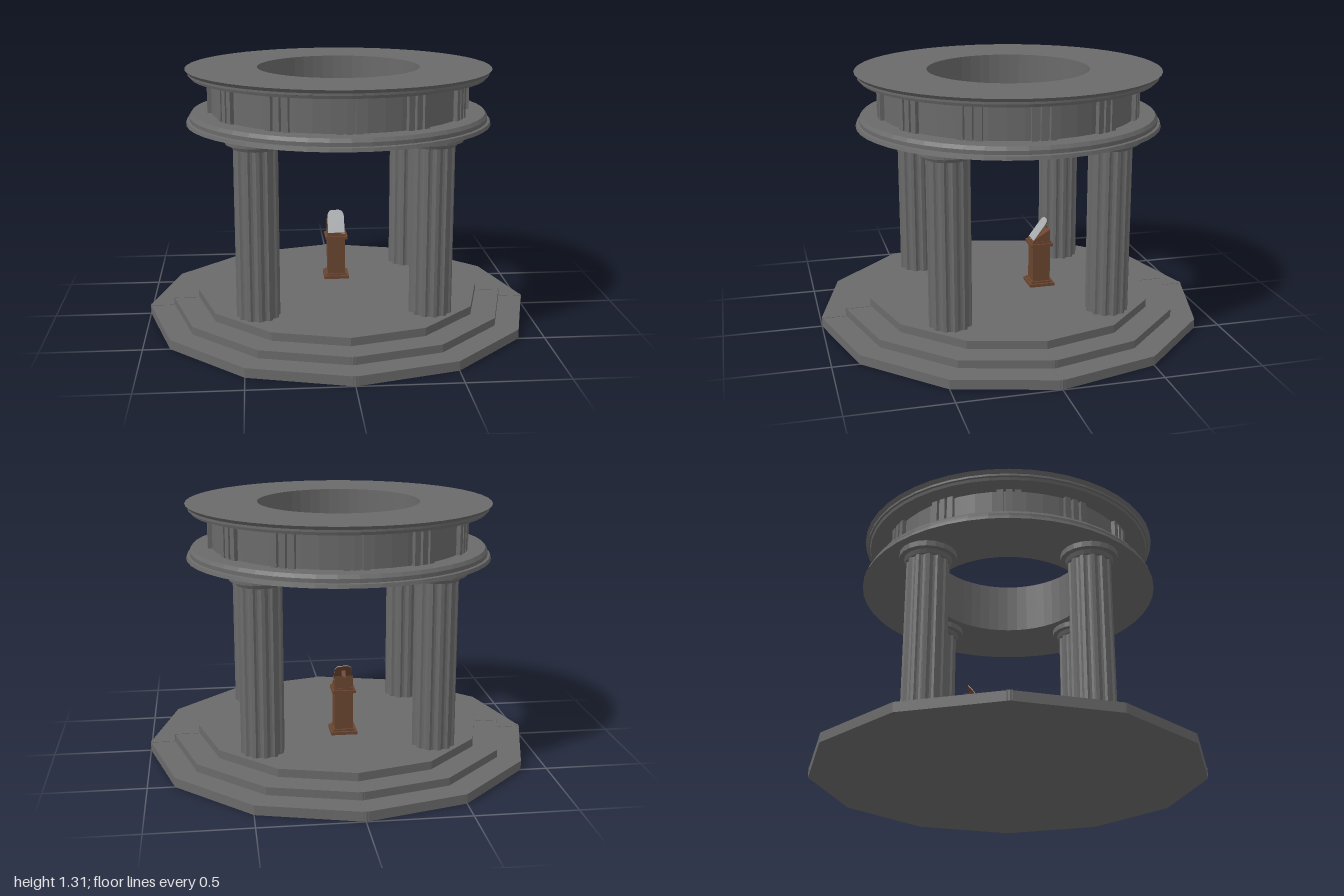
import * as THREE from 'three';

const stone = new THREE.MeshStandardMaterial({ color: 0x6a6a6a, flatShading: true });
const wood = new THREE.MeshStandardMaterial({ color: 0x6b4630, flatShading: true });
const slate = new THREE.MeshStandardMaterial({ color: 0xa8abad, flatShading: true });

function add(parent, name, geometry, material, x = 0, y = 0, z = 0) {
  const mesh = new THREE.Mesh(geometry, material);
  mesh.name = name;
  mesh.position.set(x, y, z);
  parent.add(mesh);
  return mesh;
}

// Outline of a fluted shaft: flat lands with shallow scoops between them
function flutedShape(radius, flutes) {
  const points = [];
  const steps = [[0, 1], [0.3, 1], [0.45, 0.92], [0.65, 0.89], [0.85, 0.92]];
  for (let i = 0; i < flutes; i++) {
    for (const [t, k] of steps) {
      const a = ((i + t) / flutes) * Math.PI * 2;
      points.push(new THREE.Vector2(Math.cos(a) * radius * k, Math.sin(a) * radius * k));
    }
  }
  return new THREE.Shape(points);
}

function createBase() {
  const base = new THREE.Group();
  base.name = 'steppedBase';
  const steps = [[1, 0, 0.048], [0.875, 0.048, 0.088], [0.745, 0.088, 0.13]];
  steps.forEach(([r, y0, y1], i) => {
    add(base, 'step', new THREE.CylinderGeometry(r, r, y1 - y0, 12), stone, 0, (y0 + y1) / 2, 0);
    if (i === 2) return;
    // narrow joint stones on the four axes
    for (let q = 0; q < 4; q++) {
      const a = (q * Math.PI) / 2;
      const joint = add(base, 'jointStone', new THREE.BoxGeometry(0.026, y1 - y0, 0.12), stone,
        Math.sin(a) * (r - 0.062), (y0 + y1) / 2 + 0.002, Math.cos(a) * (r - 0.062));
      joint.rotation.y = a;
    }
  });
  return base;
}

function createColumn(x, z) {
  const column = new THREE.Group();
  column.name = 'column';
  column.position.set(x, 0, z);
  const shaft = new THREE.ExtrudeGeometry(flutedShape(0.108, 12), { depth: 0.86, bevelEnabled: false });
  shaft.rotateX(-Math.PI / 2);
  add(column, 'shaft', shaft, stone, 0, 0.13, 0);
  const profile = [[0, 0.98], [0.112, 0.98], [0.122, 1.0], [0.145, 1.003], [0.145, 1.033], [0, 1.033]];
  add(column, 'capital', new THREE.LatheGeometry(profile.map(p => new THREE.Vector2(...p)), 20), stone);
  return column;
}

function createRing() {
  const ring = new THREE.Group();
  ring.name = 'entablature';
  // closed profile: up the outside, down the open centre
  const profile = [
    [0.415, 1.032], [0.78, 1.032], [0.775, 1.05], [0.762, 1.053], [0.762, 1.072], [0.75, 1.09],
    [0.65, 1.09], [0.65, 1.268], [0.75, 1.268], [0.755, 1.282], [0.765, 1.284], [0.765, 1.295],
    [0.78, 1.312], [0.415, 1.312], [0.415, 1.032],
  ];
  add(ring, 'ringBeam', new THREE.LatheGeometry(profile.map(p => new THREE.Vector2(...p)), 48), stone);
  // groups of three upright bars around the frieze
  for (let i = 0; i < 12; i++) {
    for (let j = -1; j <= 1; j++) {
      const a = (i / 12) * Math.PI * 2 + j * 0.068;
      const bar = add(ring, 'friezeBar', new THREE.BoxGeometry(0.032, 0.18, 0.04), stone,
        Math.sin(a) * 0.65, 1.179, Math.cos(a) * 0.65);
      bar.rotation.y = a;
    }
  }
  return ring;
}

function createLectern() {
  const lectern = new THREE.Group();
  lectern.name = 'lectern';
  lectern.position.z = -0.172;
  const blocks = [
    ['foot', 0.135, 0.13, 0.146], ['footMoulding', 0.112, 0.146, 0.156], ['pedestal', 0.094, 0.156, 0.352],
    ['capMoulding', 0.12, 0.352, 0.367], ['topSlab', 0.1, 0.367, 0.378],
  ];
  for (const [name, w, y0, y1] of blocks) {
    add(lectern, name, new THREE.BoxGeometry(w, y1 - y0, w), wood, 0, (y0 + y1) / 2, 0);
  }
  // sloping desk, low at the front
  const side = new THREE.Shape([[-0.047, 0.376], [0.047, 0.376], [0.047, 0.443], [-0.047, 0.385]]
    .map(p => new THREE.Vector2(...p)));
  const desk = new THREE.ExtrudeGeometry(side, { depth: 0.094, bevelEnabled: false });
  desk.translate(0, 0, -0.047);
  desk.rotateY(Math.PI / 2);
  add(lectern, 'desk', desk, wood);

  // round-topped tablet leaning back on a small strut
  const outline = new THREE.Shape();
  outline.moveTo(-0.045, 0);
  outline.lineTo(0.045, 0);
  outline.lineTo(0.045, 0.1);
  outline.quadraticCurveTo(0.042, 0.136, 0.018, 0.138);
  outline.lineTo(-0.018, 0.138);
  outline.quadraticCurveTo(-0.042, 0.136, -0.045, 0.1);
  const tablet = new THREE.ExtrudeGeometry(outline, { depth: 0.003, bevelEnabled: false, curveSegments: 5 });
  const lean = -0.637;
  add(lectern, 'tablet', tablet, slate, 0, 0.381, 0.045).rotation.x = lean;
  add(lectern, 'tabletBack', tablet, wood, 0, 0.379, 0.043).rotation.x = lean;
  add(lectern, 'strut', new THREE.BoxGeometry(0.02, 0.005, 0.045), wood, 0, 0.45, -0.032).rotation.x = -0.76;
  return lectern;
}

export function createModel() {
  const model = new THREE.Group();
  model.name = 'roundPavilion';
  model.add(createBase());
  for (const x of [-0.43, 0.43]) {
    for (const z of [-0.405, 0.405]) model.add(createColumn(x, z));
  }
  model.add(createRing(), createLectern());
  return model;
}
